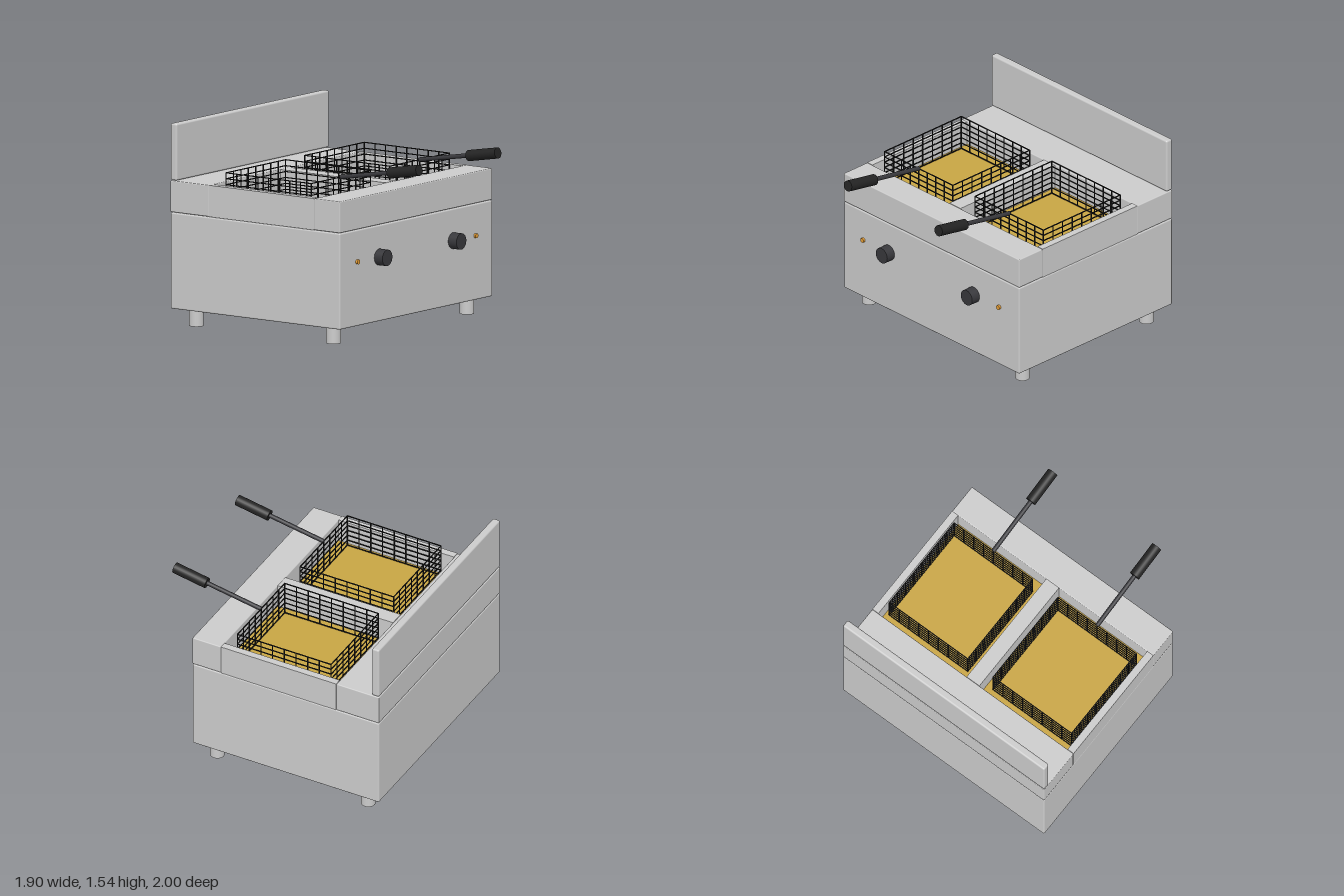
import * as THREE from 'three';
import { RoundedBoxGeometry } from 'three/addons/geometries/RoundedBoxGeometry.js';
import { mergeGeometries } from 'three/addons/utils/BufferGeometryUtils.js';

const mat = (color) => new THREE.MeshStandardMaterial({ color });

export function createModel() {
  const model = new THREE.Group();
  model.name = 'twinFryer';
  const steel = mat(0xcccccc), dark = mat(0x38383c), black = mat(0x242424);
  const wire = mat(0x1c1c1c), oil = mat(0xc8a544), amber = mat(0xe8a038);

  const add = (parent, name, geometry, material) => {
    const mesh = new THREE.Mesh(geometry, material);
    mesh.name = name;
    parent.add(mesh);
    return mesh;
  };
  // Boxes are given by their limits on each axis; r rounds the edges.
  const box = (name, [x0, x1], [y0, y1], [z0, z1], material = steel, r = 0) => {
    const size = [x1 - x0, y1 - y0, z1 - z0];
    const g = r ? new RoundedBoxGeometry(...size, 3, r) : new THREE.BoxGeometry(...size);
    add(model, name, g, material).position.set((x0 + x1) / 2, (y0 + y1) / 2, (z0 + z1) / 2);
  };
  // Cylinder running between two points.
  const rod = (parent, name, a, b, radius, material, sides = 24) => {
    const from = new THREE.Vector3(...a), to = new THREE.Vector3(...b);
    const dir = to.clone().sub(from);
    const mesh = add(parent, name, new THREE.CylinderGeometry(radius, radius, dir.length(), sides), material);
    mesh.position.copy(from).add(to).multiplyScalar(0.5);
    mesh.quaternion.setFromUnitVectors(new THREE.Vector3(0, 1, 0), dir.normalize());
  };

  // Cabinet, raised rim around the wells and splash guard
  const rimY = [0.865, 1.105];
  box('cabinet', [-0.95, 0.95], [0.13, 0.862], [-1, 0.595], steel, 0.012);
  box('frontRim', [-0.95, 0.95], rimY, [0.35, 0.595], steel, 0.008);
  box('backRim', [-0.95, 0.95], rimY, [-1, -0.635], steel, 0.008);
  box('centreDivider', [-0.06, 0.06], rimY, [-0.635, 0.35]);
  box('splashGuard', [-0.95, 0.95], [1.108, 1.54], [-1, -0.94], steel, 0.014);

  // Wire basket walls: stacked rings with upright wires
  const w = 0.74, d = 0.8, top = 1.197, pitch = 0.045, rows = 7, t = 0.007;
  const basketGeometry = () => {
    const parts = [];
    const bar = (sx, sy, sz, x, y, z) => parts.push(new THREE.BoxGeometry(sx, sy, sz).translate(x, y, z));
    for (let i = 0; i < rows; i++) {
      const y = top - i * pitch;
      for (const s of [-1, 1]) {
        bar(w + t, t, t, 0, y, s * d / 2);
        bar(t, t, d + t, s * w / 2, y, 0);
      }
    }
    const h = (rows - 1) * pitch;
    for (let i = 0; i <= 8; i++) {
      for (const s of [-1, 1]) {
        bar(t, h, t, (i / 8 - 0.5) * w, top - h / 2, s * d / 2);
        bar(t, h, t, s * w / 2, top - h / 2, (i / 8 - 0.5) * d);
      }
    }
    return mergeGeometries(parts);
  };

  for (const s of [-1, 1]) {
    const side = s > 0 ? 'left' : 'right';
    const span = (a, b) => (s > 0 ? [a, b] : [-b, -a]);
    box(side + 'SideRim', span(0.893, 0.95), rimY, [-0.635, 0.35]);
    box(side + 'Oil', span(0.06, 0.893), [0.86, 0.915], [-0.635, 0.35], oil);

    // Basket with its long tilted handle
    const basket = new THREE.Group();
    basket.name = side + 'Basket';
    basket.position.x = s * 0.49;
    model.add(basket);
    add(basket, 'basketWires', basketGeometry(), wire).position.z = -0.143;
    rod(basket, 'handleRod', [0, 1.197, 0.255], [0, 1.28, 0.74], 0.017, dark);
    rod(basket, 'handleGrip', [0, 1.275, 0.719], [0, 1.323, 0.993], 0.042, black);

    // Controls
    rod(model, side + 'Knob', [s * 0.46, 0.62, 0.59], [s * 0.46, 0.62, 0.672], 0.062, dark, 32);
    rod(model, side + 'IndicatorLight', [s * 0.735, 0.62, 0.59], [s * 0.735, 0.62, 0.611], 0.018, amber);

    // Feet
    for (const z of [-0.845, 0.445])
      rod(model, side + (z > 0 ? 'Front' : 'Back') + 'Foot', [s * 0.83, 0, z], [s * 0.83, 0.14, z], 0.055, steel);
  }
  return model;
}
